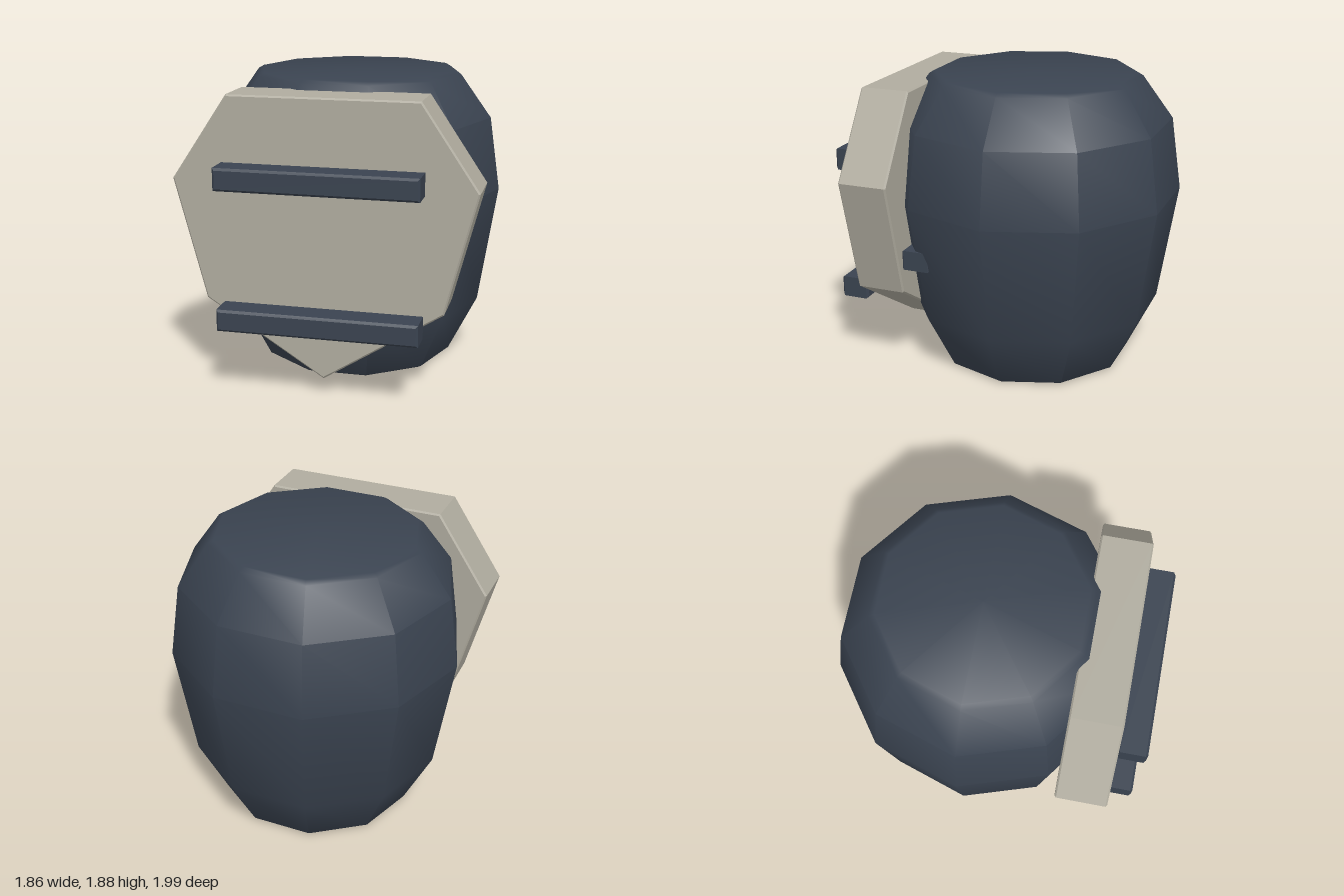
import * as THREE from 'three';
import { toCreasedNormals } from 'three/addons/utils/BufferGeometryUtils.js';

// Flat outline extruded from z0 to z1 with a small chamfer kept inside the outline
function chamferedSlab(points, z0, z1, chamfer) {
  const shape = new THREE.Shape(points.map(([x, y]) => new THREE.Vector2(x, y)));
  const geometry = new THREE.ExtrudeGeometry(shape, {
    depth: z1 - z0 - 2 * chamfer,
    bevelEnabled: true,
    bevelSize: chamfer,
    bevelThickness: chamfer,
    bevelOffset: -chamfer,
    bevelSegments: 1,
  });
  return geometry.translate(0, 0, z0 + chamfer);
}

function bar(x0, x1, y0, y1, z0, z1) {
  return chamferedSlab([[x0, y0], [x1, y0], [x1, y1], [x0, y1]], z0, z1, 0.014);
}

export function createModel() {
  const group = new THREE.Group();
  const navy = new THREE.MeshStandardMaterial({ color: 0x3a4350 });
  navy.name = 'dark slate';
  const stone = new THREE.MeshStandardMaterial({ color: 0xb0ac9f });
  stone.name = 'warm grey';

  const add = (name, geometry, material) => {
    const mesh = new THREE.Mesh(geometry, material);
    mesh.name = name;
    group.add(mesh);
  };

  // Ten-sided barrel body with softened rims
  const profile = [
    [0, 0], [0.6, 0], [0.625, 0.015], [0.81, 0.38], [0.93, 1.13],
    [0.865, 1.59], [0.67, 1.86], [0.635, 1.88], [0, 1.88],
  ].map(([r, y]) => new THREE.Vector2(r, y));
  const body = new THREE.LatheGeometry(profile, 10, Math.PI / 2);
  body.translate(0, 0, -0.11);
  add('body', toCreasedNormals(body, 0.68), navy);

  // Seven-sided front plate
  const half = [[0.73, 0.57], [0.925, 1.31], [0.58, 1.825]];
  const outline = [[0, 0.105], ...half, ...half.map(([x, y]) => [-x, y]).reverse()];
  add('frontPlate', chamferedSlab(outline, 0.495, 0.812, 0.01), stone);

  // Two bars across the front, one behind the plate
  add('upperBar', bar(-0.61, 0.61, 1.287, 1.425, 0.815, 1), navy);
  add('lowerBar', bar(-0.61, 0.61, 0.427, 0.562, 0.815, 1), navy);
  add('rearBar', bar(-0.48, 0.735, 0.73, 0.855, 0.31, 0.5), navy);

  return group;
}
